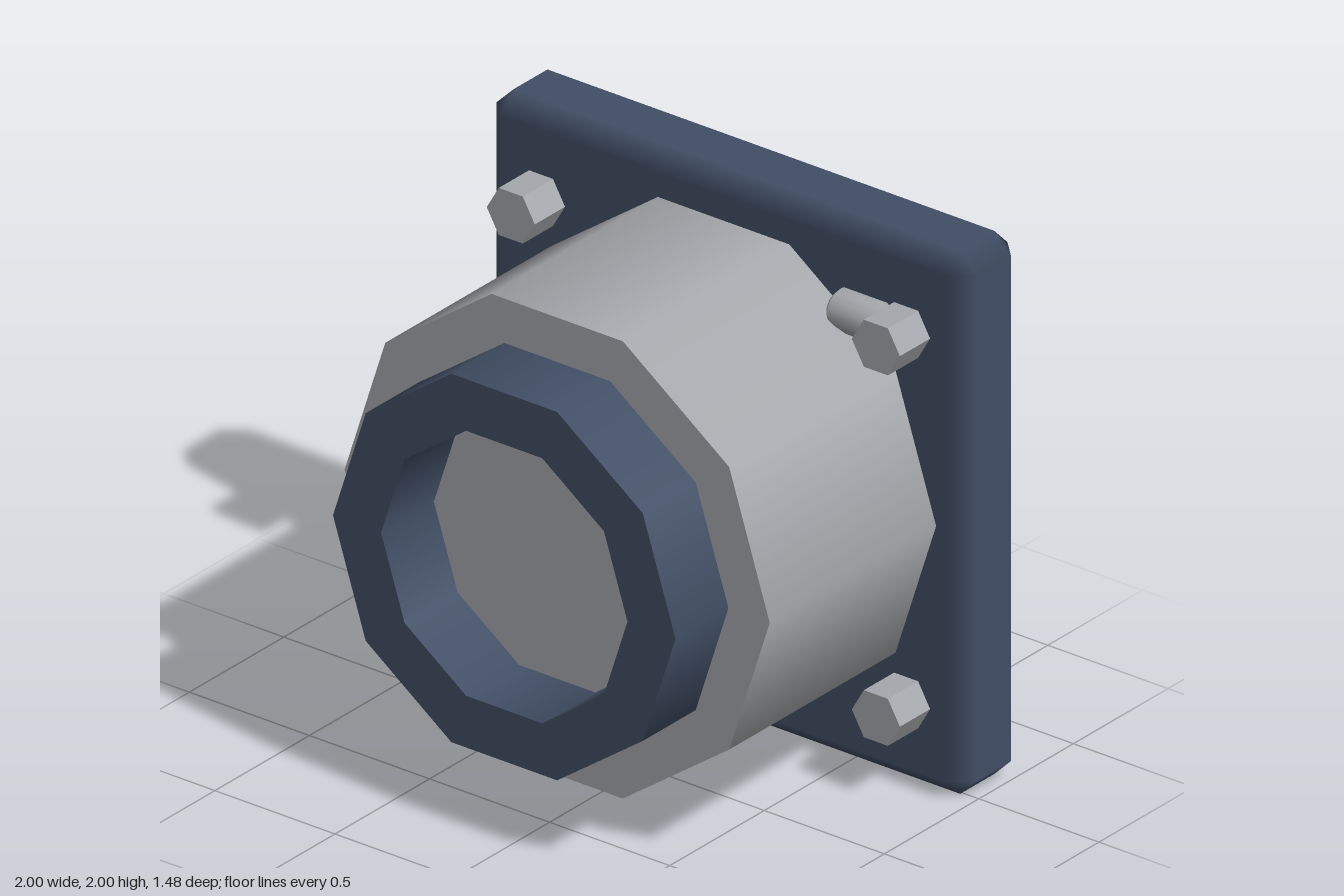
import * as THREE from 'three';
import { mergeGeometries } from 'three/addons/utils/BufferGeometryUtils.js';
import { ConvexGeometry } from 'three/addons/geometries/ConvexGeometry.js';

const navy = new THREE.MeshStandardMaterial({ color: 0x414e65 });
const grey = new THREE.MeshStandardMaterial({ color: 0xa5a8ac });
navy.name = 'navy';
grey.name = 'grey';

// Box with one chamfer per edge; normals stay flat on faces and blend over chamfers
function chamferedBox(w, h, d, c) {
  const half = [w / 2, h / 2, d / 2];
  const points = [];
  for (let axis = 0; axis < 3; axis++)
    for (const sx of [-1, 1]) for (const sy of [-1, 1]) for (const sz of [-1, 1]) {
      const p = [sx, sy, sz].map((s, i) => s * (half[i] - (i === axis ? 0 : c)));
      points.push(new THREE.Vector3(...p));
    }
  const geo = new ConvexGeometry(points);
  const pos = geo.attributes.position;
  for (let i = 0; i < pos.count; i++) {
    const p = [pos.getX(i), pos.getY(i), pos.getZ(i)];
    const n = p.map((v, k) => (Math.abs(v) > half[k] - c / 2 ? Math.sign(v) : 0));
    geo.attributes.normal.setXYZ(i, ...n);
  }
  return geo;
}

// Prism along z with corners on the x axis
function prism(radius, depth, sides) {
  return new THREE.CylinderGeometry(radius, radius, depth, sides, 1, false, Math.PI / 2).rotateX(Math.PI / 2);
}

// Decagonal tube along z, each wall a separate strip to keep its edges sharp
function collar(outer, inner, depth) {
  const profile = [[outer, 0], [outer, depth], [inner, depth], [inner, 0]];
  const strips = [0, 1, 2].map((i) =>
    new THREE.LatheGeometry(
      [profile[i], profile[i + 1]].map((p) => new THREE.Vector2(...p)), 10, Math.PI / 2));
  return mergeGeometries(strips).rotateX(Math.PI / 2);
}

export function createModel() {
  const model = new THREE.Group();
  model.name = 'flangedFitting';
  const add = (name, geo, material, x, y, z) => {
    const mesh = new THREE.Mesh(geo, material);
    mesh.name = name;
    mesh.position.set(x, y, z);
    model.add(mesh);
  };

  add('backPlate', chamferedBox(2, 2, 0.32, 0.07), navy, 0, 1, -0.58);
  add('barrel', prism(0.885, 0.89, 10), grey, 0, 1, 0.015);
  add('frontCollar', collar(0.713, 0.513, 0.28), navy, 0, 1, 0.46);

  // Hexagonal bolts at the four corners
  for (const sx of [-1, 1])
    for (const sy of [-1, 1]) {
      const bolt = prism(0.1, 0.17, 6).toNonIndexed();
      bolt.computeVertexNormals();
      add('bolt', bolt, grey, sx * 0.76, 1 + sy * 0.682, -0.345);
    }

  // Short pin lying sideways beside the upper left bolt
  const pinProfile = [[0, -0.11], [0.055, -0.11], [0.075, -0.09], [0.075, 0.09], [0.055, 0.11], [0, 0.11]]
    .map((p) => new THREE.Vector2(...p));
  const pin = new THREE.LatheGeometry(pinProfile, 16).rotateZ(-Math.PI / 2);
  add('pin', pin, grey, 0.592, 1.685, -0.405);

  return model;
}
